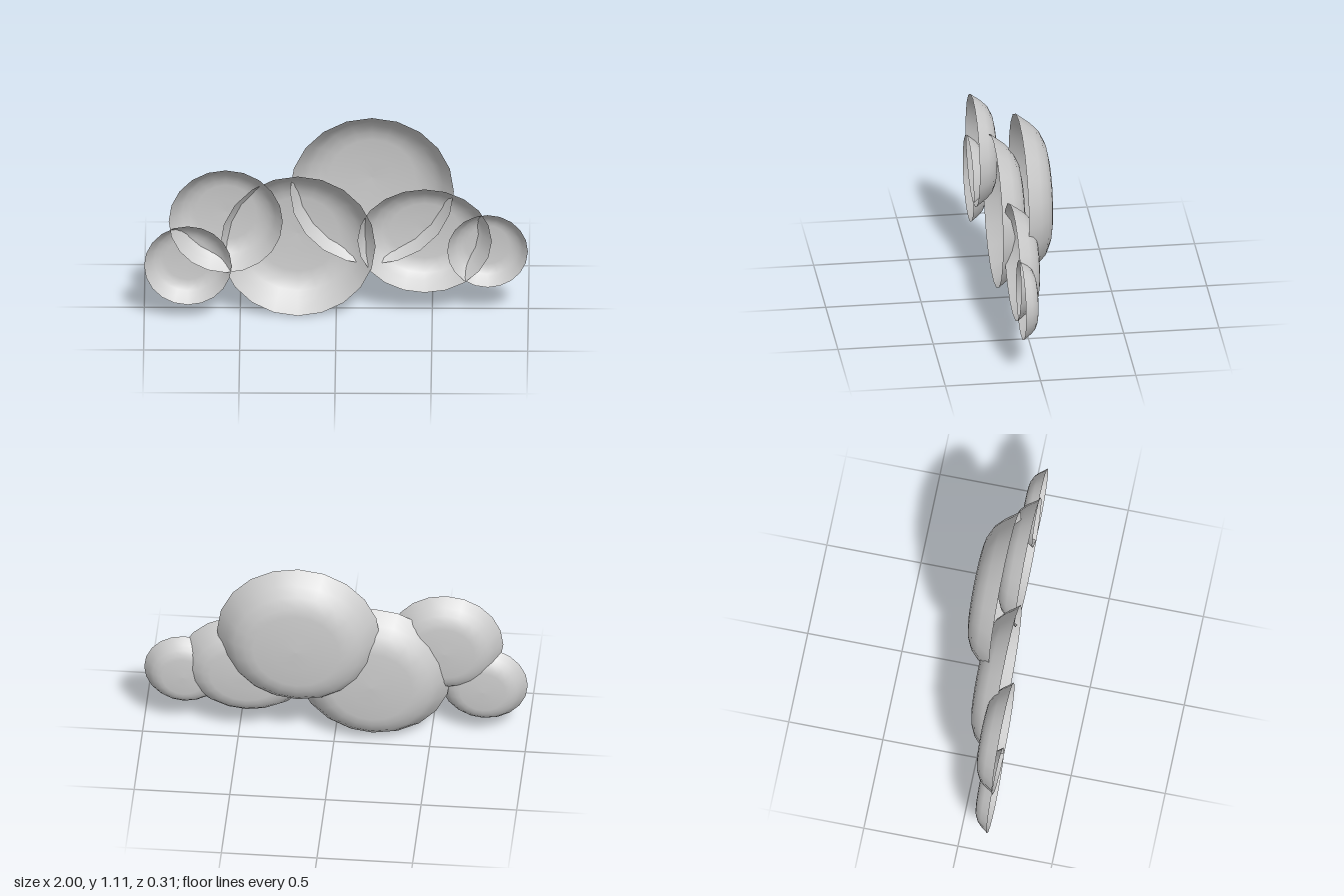
import * as THREE from 'three';

// Shallow dome profile for a unit radius: [radius, depth] from rim to crown
const PROFILE = [[1, 0], [0.87, 0.172], [0.77, 0.269], [0.64, 0.33], [0.53, 0.352], [0.27, 0.37], [0, 0.379]];

// Each puff: name, rim centre (x, y, z), radii in x and y, depth scale
const PUFFS = [
  ['topPuff', 0.185, 0.685, 0.01, 0.427, 0.425, 0.43],
  ['mainPuff', -0.2, 0.406, 0.095, 0.405, 0.405, 0.405],
  ['rightUpperPuff', -0.575, 0.578, 0.155, 0.297, 0.297, 0.31],
  ['rightEndPuff', -0.772, 0.32, 0.153, 0.228, 0.228, 0.228],
  ['leftPuff', 0.46, 0.43, 0.078, 0.35, 0.3, 0.345],
  ['leftEndPuff', 0.788, 0.37, 0.075, 0.21, 0.21, 0.22],
];

export function createModel() {
  const cloud = new THREE.Group();
  cloud.name = 'cloud';
  const material = new THREE.MeshStandardMaterial({ color: 0xcccccc, side: THREE.DoubleSide });

  // Open dome with its crown turned to the back
  const dome = new THREE.LatheGeometry(PROFILE.map(([r, d]) => new THREE.Vector2(r, d)), 20);
  dome.rotateX(-Math.PI / 2);

  for (const [name, x, y, z, rx, ry, depth] of PUFFS) {
    const puff = new THREE.Mesh(dome, material);
    puff.name = name;
    puff.position.set(x, y, z);
    puff.scale.set(rx, ry, depth);
    cloud.add(puff);
  }
  return cloud;
}
